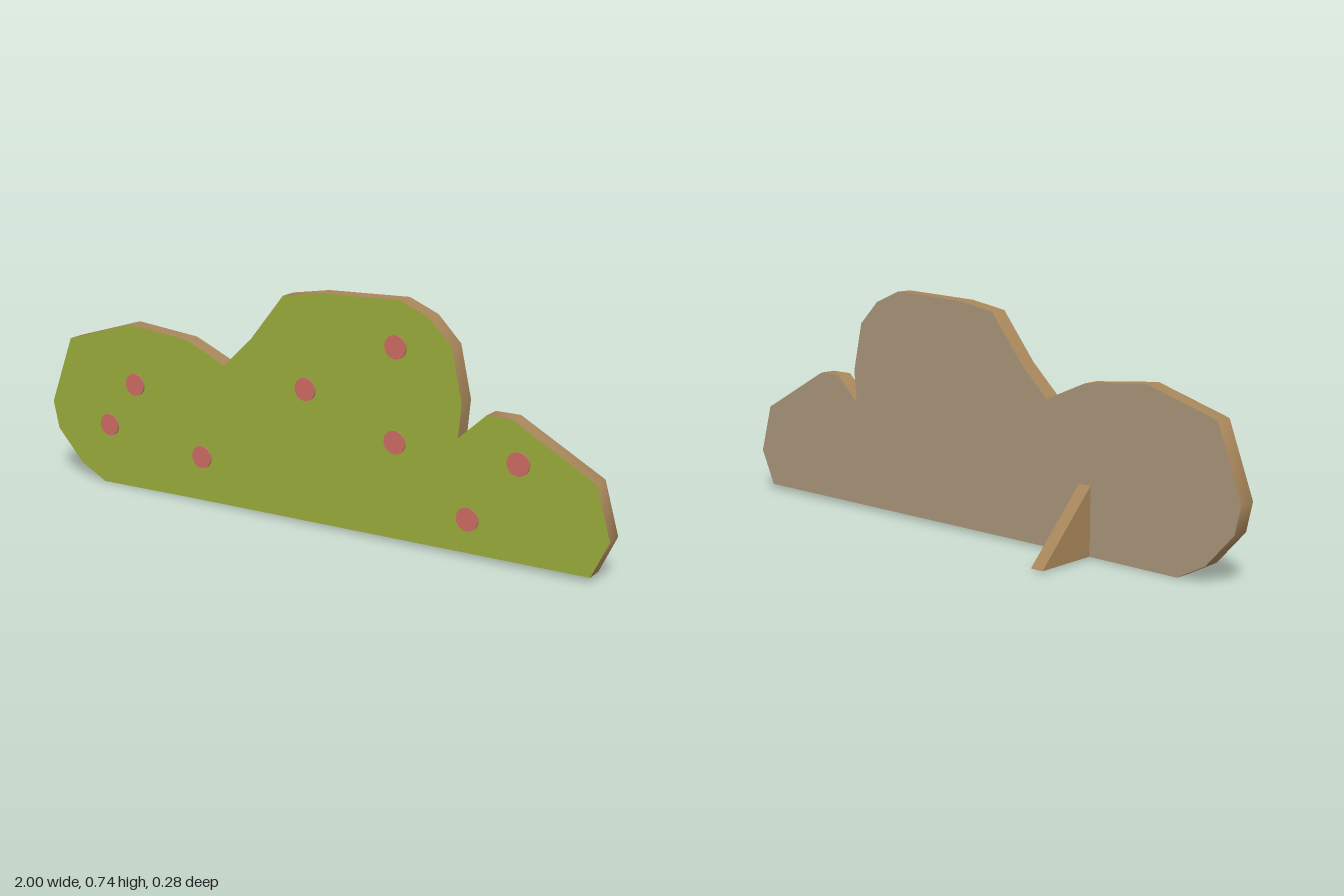
import * as THREE from 'three';
import { toCreasedNormals } from 'three/addons/utils/BufferGeometryUtils.js';

function material(name, color) {
  const m = new THREE.MeshStandardMaterial({ color });
  m.name = name;
  return m;
}

export function createModel() {
  const group = new THREE.Group();
  group.name = 'bushCutout';
  const leaf = material('leafGreen', 0x9aab3c);
  const wood = material('woodEdge', 0xa8865a);
  const backing = material('plainBack', 0xab987c);
  const berry = material('berryRed', 0xcc6a62);

  const FRONT = 0.135, BACK = 0.078;
  const add = (name, geometry, mat, x = 0, y = 0, z = 0) => {
    const mesh = new THREE.Mesh(geometry, mat);
    mesh.name = name;
    mesh.position.set(x, y, z);
    group.add(mesh);
    return mesh;
  };

  // Bush outline, counter-clockwise from the lower left
  const outline = new THREE.Shape([
    [-0.79, 0], [-0.43, 0.005], [0.945, 0.015], [1, 0.13], [0.955, 0.29],
    [0.69, 0.437], [0.61, 0.437], [0.52, 0.355], [0.53, 0.46], [0.495, 0.62],
    [0.42, 0.697], [0.325, 0.737], [0.05, 0.727], [-0.08, 0.705], [-0.2, 0.555],
    [-0.3, 0.46], [-0.445, 0.523], [-0.67, 0.545], [-0.915, 0.47], [-1, 0.245],
    [-0.98, 0.155], [-0.885, 0.05],
  ].map(([x, y]) => new THREE.Vector2(x, y)));

  // Rim with softened corners, then the painted front and plain back
  const board = new THREE.ExtrudeGeometry(outline, { depth: FRONT - BACK, bevelEnabled: false });
  const caps = board.groups[0];
  const half = caps.count / 2;
  const rim = board.groups[1];
  const shaded = toCreasedNormals(board, 1.0);
  shaded.clearGroups();
  shaded.addGroup(0, half, 0);
  shaded.addGroup(half, half, 1);
  shaded.addGroup(rim.start, rim.count, 2);
  add('bushBoard', shaded, [backing, leaf, wood], 0, 0, BACK);

  // Raised berry discs
  const disc = new THREE.CylinderGeometry(0.036, 0.036, 0.006, 24).rotateX(Math.PI / 2);
  const spots = [
    [-0.76, 0.2], [-0.65, 0.35], [-0.39, 0.15], [0, 0.427],
    [0.312, 0.598], [0.312, 0.31], [0.557, 0.117], [0.715, 0.31],
  ];
  for (const [x, y] of spots) add('berry', disc, [wood, berry, wood], x, y, FRONT + 0.003);

  // Triangular prop behind the board
  const side = new THREE.Shape([
    new THREE.Vector2(-BACK, 0.005), new THREE.Vector2(0.138, 0.003), new THREE.Vector2(-BACK, 0.22),
  ]);
  const prop = new THREE.ExtrudeGeometry(side, { depth: 0.044, bevelEnabled: false });
  prop.rotateY(Math.PI / 2);
  add('supportProp', prop, wood, -0.472, 0, 0);

  return group;
}
